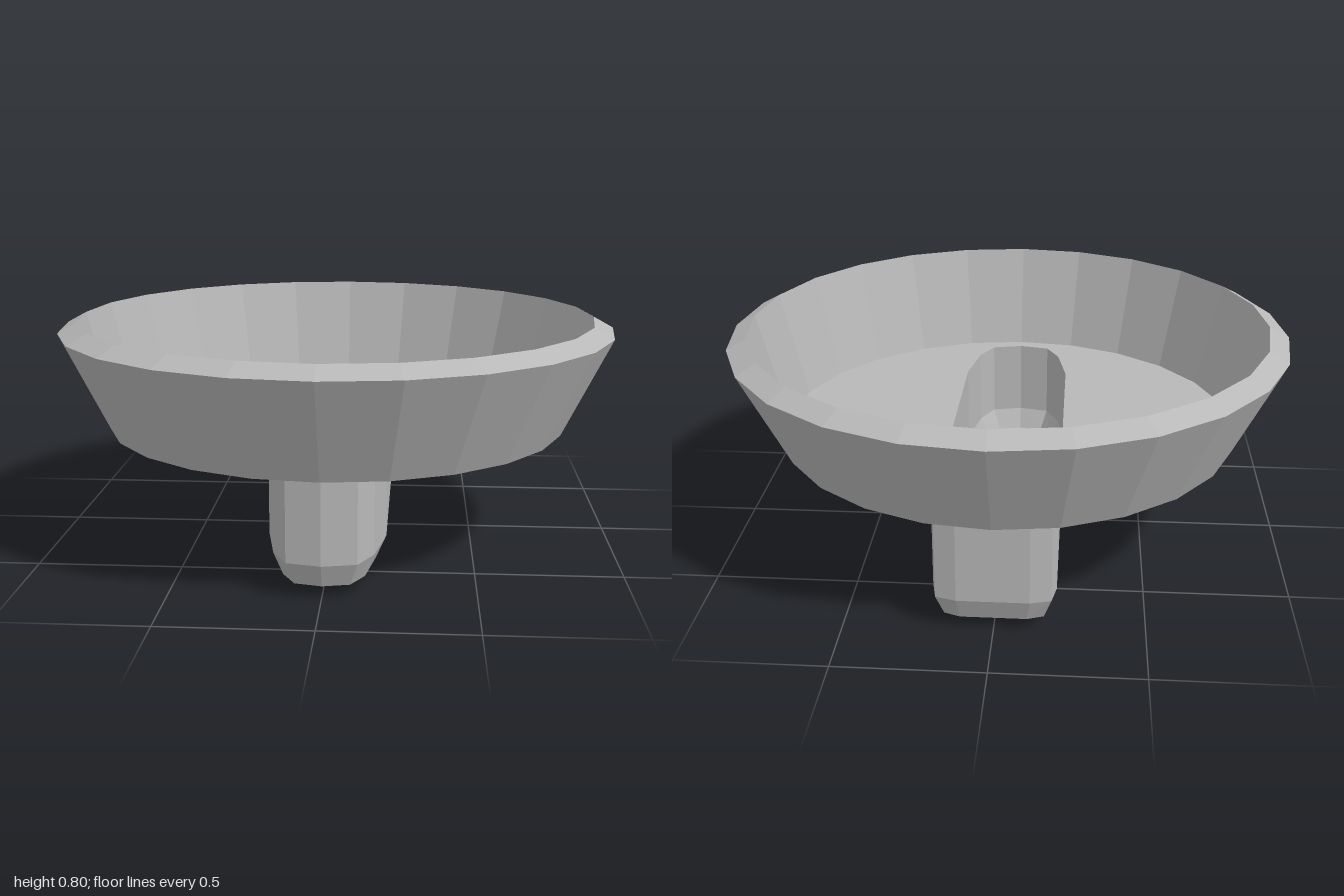
import * as THREE from 'three';

const FLOOR_Y = 0.413;
const SIDES = 24;

// Half outlines [x, z, y] of the slot, from the front centre round to the back centre
const WALL = [[0, 0.78], [0.115, 0.755], [0.165, 0.66], [0.2, 0.47], [0.205, -0.69], [0.19, -0.765], [0.12, -0.785], [0, -0.785]];
const BEVEL = [[0, 0.745], [0.09, 0.725], [0.135, 0.645], [0.165, 0.47], [0.168, -0.68], [0.165, -0.735], [0.11, -0.755], [0, -0.755]];
const BASE = [[0, 0.66, 0.018], [0.04, 0.65, 0.018], [0.06, 0.6, 0.012], [0.08, 0.47, 0], [0.08, -0.65, 0], [0.075, -0.69, 0.005], [0.05, -0.7, 0.005], [0, -0.67, 0]];

// Mirror a half outline into a closed ring of points
function ring(half, y) {
  const right = half.map(([x, z, py]) => new THREE.Vector3(x, py ?? y, z));
  const left = right.slice(1, -1).reverse().map((p) => new THREE.Vector3(-p.x, p.y, p.z));
  return [...right, ...left];
}

// Join successive rings with quads
function loft(rings) {
  const n = rings[0].length;
  const index = [];
  for (let r = 0; r < rings.length - 1; r++) {
    for (let i = 0; i < n; i++) {
      const a = r * n + i, b = r * n + (i + 1) % n;
      index.push(a, a + n, b, b, a + n, b + n);
    }
  }
  const geometry = new THREE.BufferGeometry().setFromPoints(rings.flat());
  geometry.setIndex(index);
  return geometry;
}

// Give every face its own flat normal
function faceted(geometry) {
  const flat = geometry.index ? geometry.toNonIndexed() : geometry;
  flat.computeVertexNormals();
  return flat;
}

export function createModel() {
  const group = new THREE.Group();
  const grey = new THREE.MeshStandardMaterial({ color: 0xb8b8b8, side: THREE.DoubleSide });
  grey.name = 'plain grey';

  const add = (name, geometry) => {
    const mesh = new THREE.Mesh(faceted(geometry), grey);
    mesh.name = name;
    group.add(mesh);
  };

  // Flared outer wall, bevelled rim and sloping inner wall
  const profile = [[0.83, FLOOR_Y], [1, 0.765], [0.93, 0.803], [0.83, FLOOR_Y]];
  add('dishWall', new THREE.LatheGeometry(profile.map(([r, y]) => new THREE.Vector2(r, y)), SIDES));

  // Dish floor with the slot cut out
  const floor = new THREE.Shape(Array.from({ length: SIDES }, (_, i) => {
    const angle = (i / SIDES) * Math.PI * 2;
    return new THREE.Vector2(Math.cos(angle) * 0.83, Math.sin(angle) * 0.83);
  }));
  floor.holes.push(new THREE.Path(ring(WALL, 0).map((p) => new THREE.Vector2(p.x, -p.z))));
  add('dishFloor', new THREE.ShapeGeometry(floor).rotateX(-Math.PI / 2).translate(0, FLOOR_Y, 0));

  // Hollow slot hanging below the floor, closed along its centre line
  const base = ring(BASE, 0);
  const spine = base.map((p) => new THREE.Vector3(0, p.y, p.z));
  add('slot', loft([ring(WALL, FLOOR_Y), ring(WALL, 0.12), ring(BEVEL, 0.04), base, spine]));

  return group;
}
